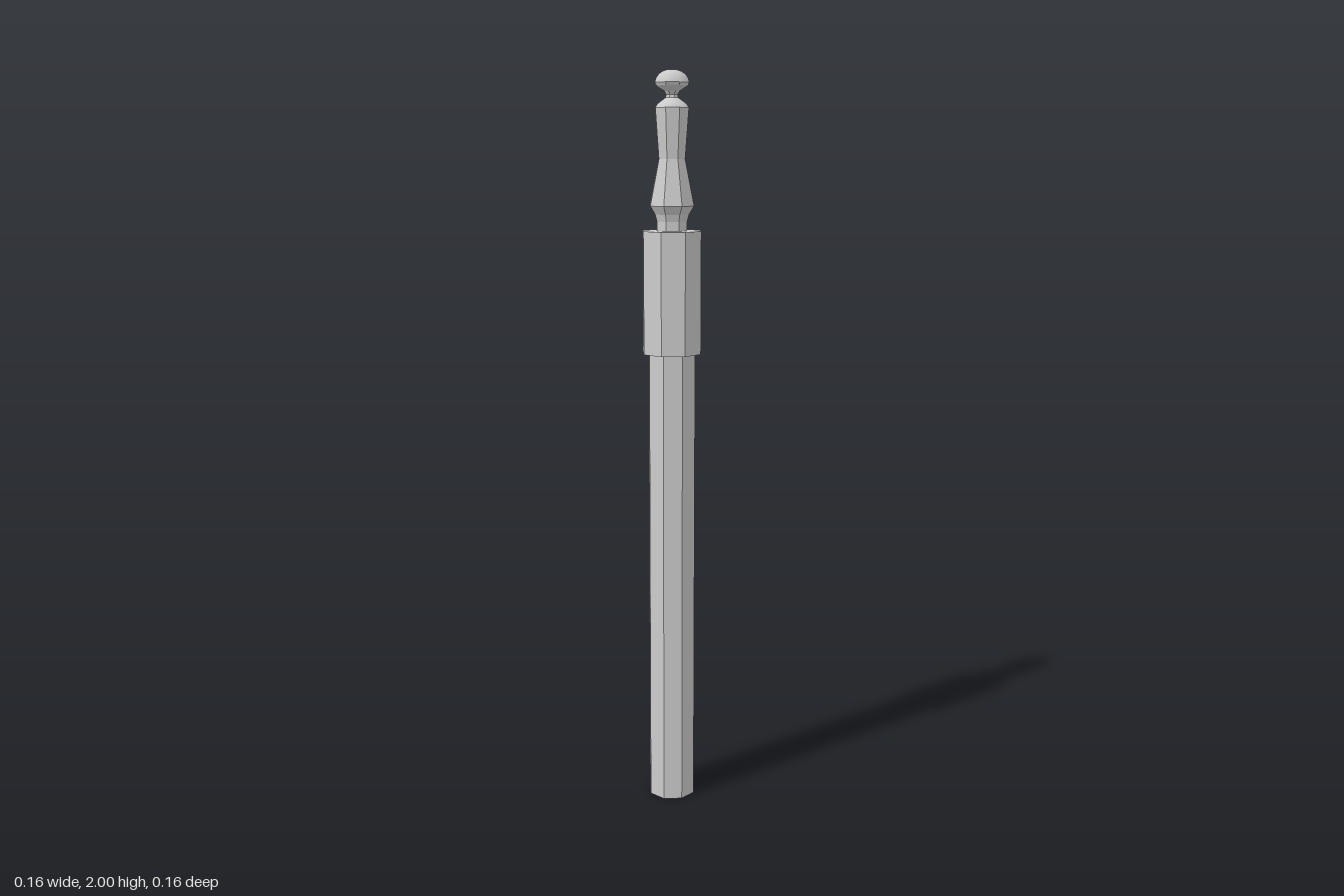
import * as THREE from 'three';

const SIDES = 8;

// Octagonal turned part from a bottom-to-top profile of [radius, height]
function turned(name, profile, smooth = false) {
  const points = profile.map(([r, y]) => new THREE.Vector2(r, y));
  const geometry = new THREE.LatheGeometry(points, SIDES);
  const material = new THREE.MeshStandardMaterial({ color: 0xcccccc, flatShading: !smooth });
  const mesh = new THREE.Mesh(geometry, material);
  mesh.name = name;
  return mesh;
}

export function createModel() {
  const group = new THREE.Group();
  group.name = 'post';

  // Long straight shaft and the thicker collar above it
  group.add(turned('shaft', [[0, 0], [0.066, 0], [0.066, 1.265]]));
  group.add(turned('collar', [[0, 1.265], [0.082, 1.265], [0.082, 1.59], [0, 1.59]]));

  // Waisted baluster on a flared foot
  group.add(turned('baluster', [
    [0.043, 1.59], [0.043, 1.615], [0.048, 1.633], [0.062, 1.655],
    [0.037, 1.775], [0.047, 1.905],
  ]));

  // Shallow dome narrowing to the neck
  group.add(turned('dome', [
    [0.047, 1.905], [0.041, 1.914], [0.03, 1.922], [0.018, 1.93],
  ], true));
  group.add(turned('neck', [[0.018, 1.93], [0.016, 1.938], [0.022, 1.947]]));

  // Rounded knob with a narrow belt
  group.add(turned('knobUnderside', [[0.022, 1.947], [0.044, 1.96], [0.048, 1.968]]));
  group.add(turned('knob', [
    [0.048, 1.968], [0.045, 1.978], [0.037, 1.989], [0.026, 1.996], [0.014, 2], [0, 2],
  ], true));

  return group;
}
